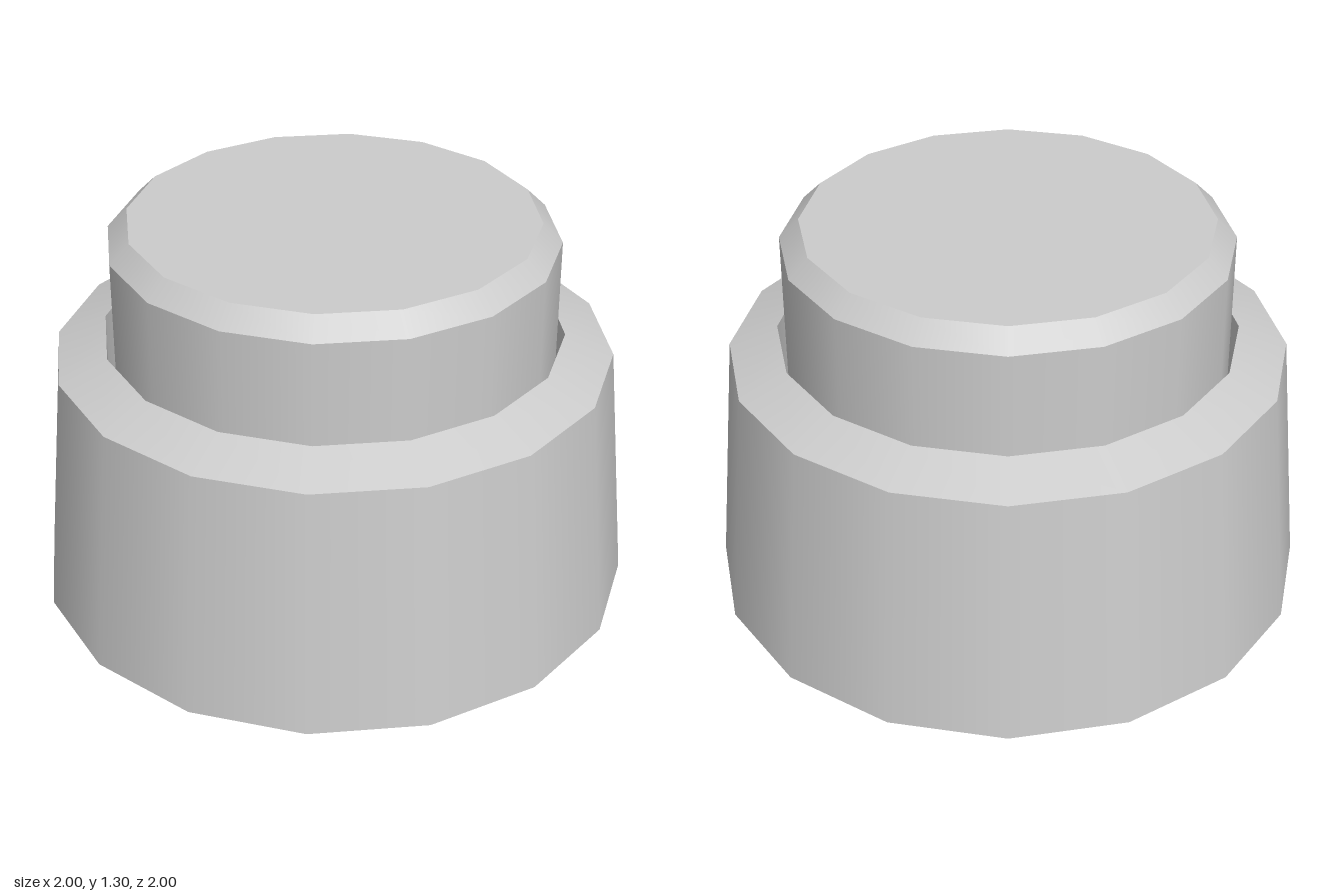
import * as THREE from 'three';
import { mergeGeometries } from 'three/addons/utils/BufferGeometryUtils.js';

const SIDES = 16;
const material = new THREE.MeshStandardMaterial({ color: 0xcccccc, side: THREE.DoubleSide });

// Revolves each profile segment on its own: smooth around, sharp between bands.
function turned(name, profile) {
  const bands = [];
  for (let i = 0; i < profile.length - 1; i++) {
    const pair = [profile[i], profile[i + 1]].map(([r, y]) => new THREE.Vector2(r, y));
    bands.push(new THREE.LatheGeometry(pair, SIDES));
  }
  const mesh = new THREE.Mesh(mergeGeometries(bands), material);
  mesh.name = name;
  return mesh;
}

export function createModel() {
  const model = new THREE.Group();
  model.name = 'pushButton';

  // Tapered collar: outer wall, sloped rim, inner sleeve; open underneath
  model.add(turned('housing', [[1, 0], [0.925, 0.84], [0.763, 0.907], [0.763, 0]]));

  // Hollow plunger with a chamfered flat top, separated by a thin gap
  model.add(turned('plunger', [[0.737, 0], [0.737, 1.24], [0.672, 1.305], [0, 1.305]]));

  return model;
}
